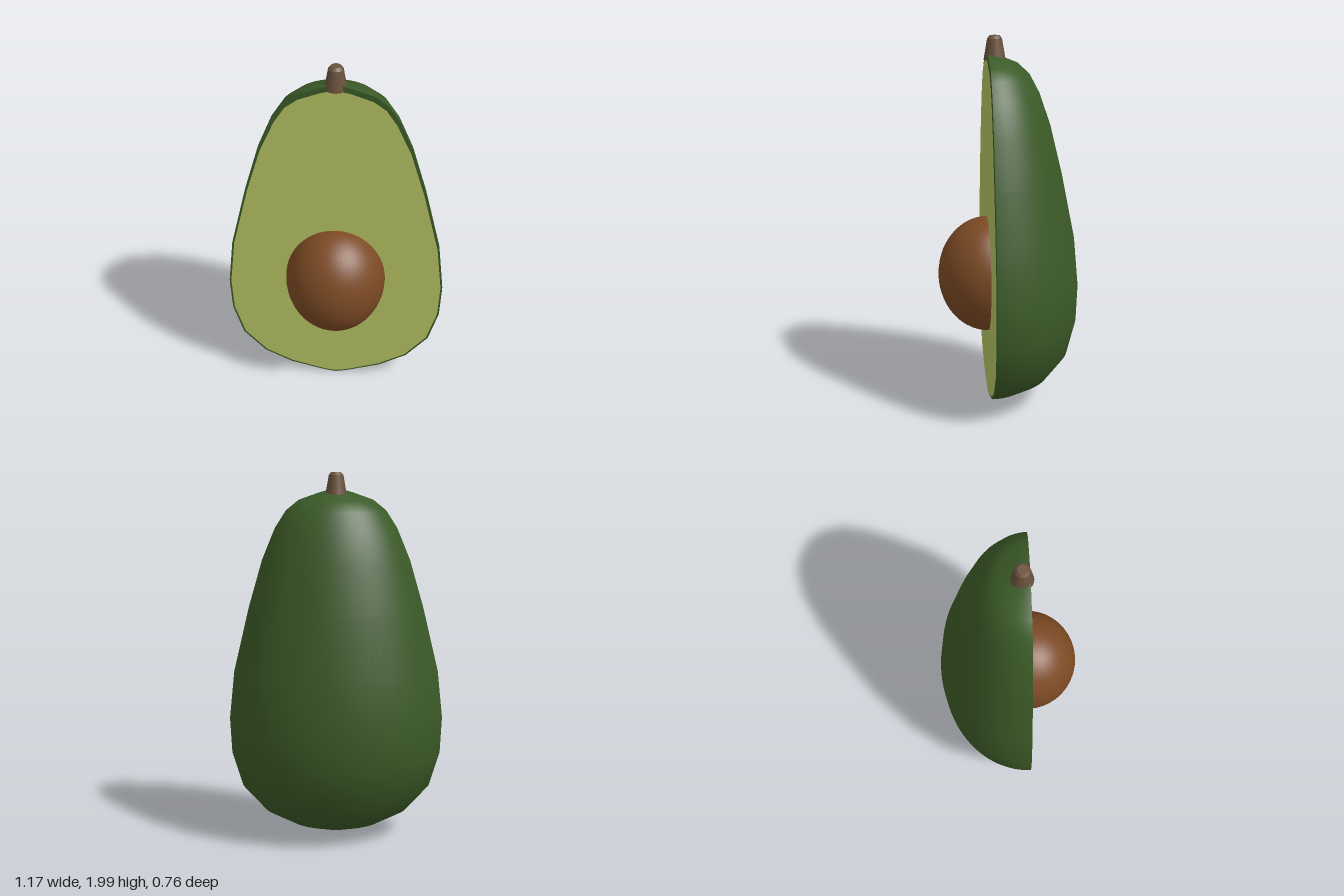
import * as THREE from 'three';

const material = (name, color) => {
  const m = new THREE.MeshStandardMaterial({ color });
  m.name = name;
  return m;
};

const toPoints = (pairs) => pairs.map(([x, y]) => new THREE.Vector2(x, y));

// Closed outline made from a half profile and its mirror image
function mirroredShape(pairs) {
  const left = pairs.slice(1, -1).reverse().map(([x, y]) => [-x, y]);
  return new THREE.Shape(toPoints([...pairs, ...left]));
}

export function createModel() {
  const group = new THREE.Group();
  group.name = 'halvedAvocado';
  const skinMat = material('dark green skin', 0x3b5a27);
  const fleshMat = material('pale green flesh', 0xb2c060);
  const seedMat = material('brown seed', 0x7c4a24);
  const stemMat = material('grey brown stem', 0x6b523d);
  const cutZ = 0.105;

  const add = (name, geometry, mat, x, y, z) => {
    const mesh = new THREE.Mesh(geometry, mat);
    mesh.name = name;
    mesh.position.set(x, y, z);
    group.add(mesh);
    return mesh;
  };

  // Skin: half a turned pear profile, flattened front to back
  const skinProfile = [
    [0, 0.01], [0.06, 0.02], [0.25, 0.075], [0.4, 0.155], [0.52, 0.29],
    [0.575, 0.47], [0.585, 0.66], [0.558, 0.92], [0.475, 1.27], [0.4, 1.53],
    [0.33, 1.7], [0.27, 1.795], [0.2, 1.852], [0.085, 1.893], [0, 1.915],
  ];
  const skin = add('skin', new THREE.LatheGeometry(toPoints(skinProfile), 48, Math.PI / 2, Math.PI),
    skinMat, 0, 0, cutZ);
  skin.scale.z = 0.83;

  // Rim of skin around the cut
  add('skinRim', new THREE.ShapeGeometry(mirroredShape(skinProfile)), skinMat, 0, 0, cutZ);

  // Flat flesh, a little inside the rim
  const fleshProfile = [
    [0, 0.022], [0.06, 0.031], [0.245, 0.086], [0.393, 0.165], [0.51, 0.297],
    [0.565, 0.473], [0.575, 0.66], [0.547, 0.92], [0.464, 1.265], [0.388, 1.52],
    [0.312, 1.69], [0.255, 1.777], [0.19, 1.825], [0.08, 1.866], [0, 1.884],
  ];
  add('flesh', new THREE.ShapeGeometry(mirroredShape(fleshProfile)), fleshMat, 0, 0, cutZ + 0.004);

  // Seed, half sunk into the flesh
  const seed = add('seed', new THREE.SphereGeometry(0.27, 40, 28), seedMat, 0, 0.71, cutZ);
  seed.scale.y = 0.315 / 0.27;

  // Tapered stem with a bevelled tip
  const stemParts = [[0.039, 0.058, 0.11, 1.93], [0.026, 0.039, 0.015, 1.9925]];
  stemParts.forEach(([top, bottom, height, y], i) =>
    add(i ? 'stemTip' : 'stem', new THREE.CylinderGeometry(top, bottom, height, 20), stemMat, 0, y, 0.066));

  return group;
}
